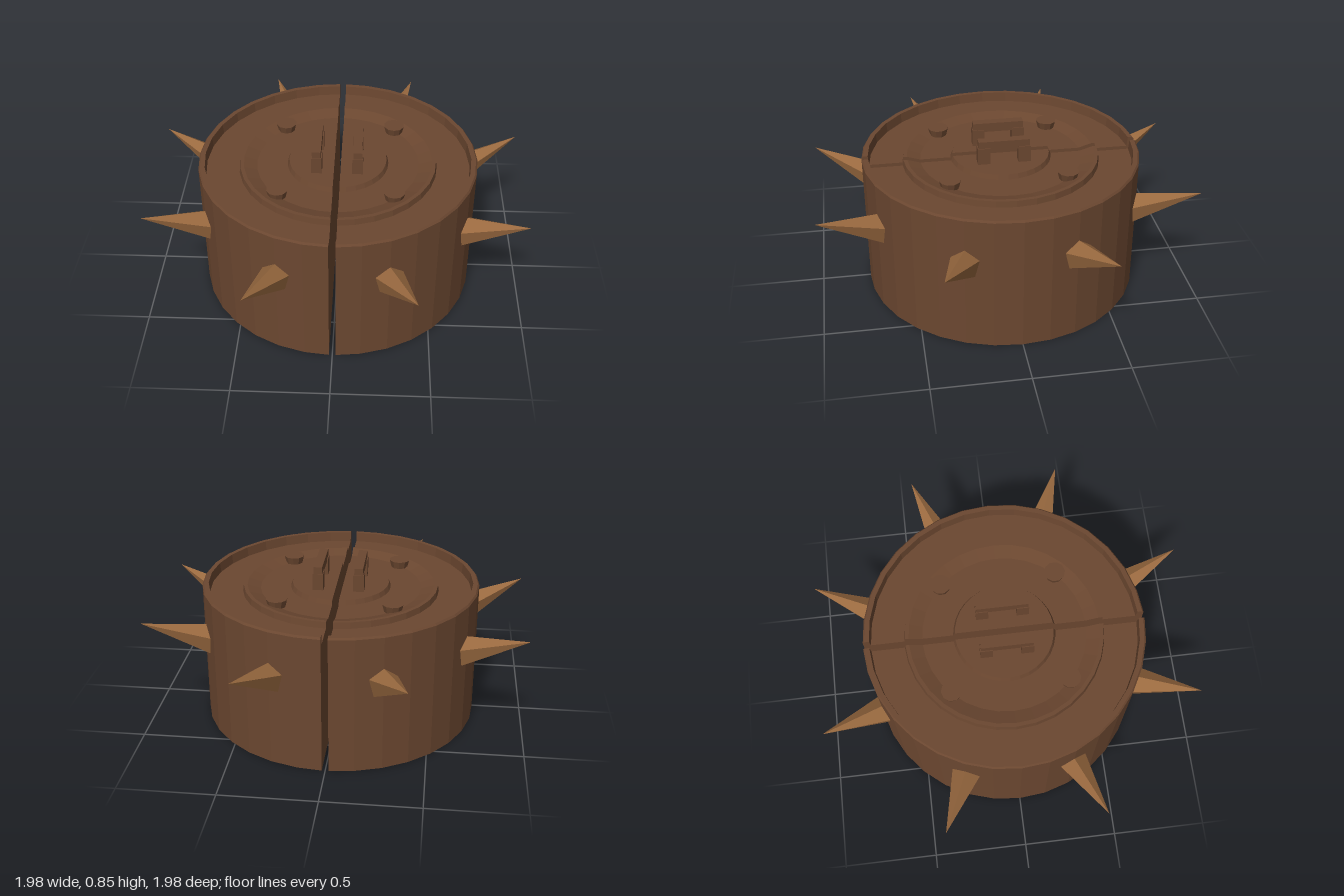
import * as THREE from 'three';

const bodyBrown = new THREE.MeshStandardMaterial({ color: 0x6b4730 });
bodyBrown.name = 'dark brown';
const spikeTan = new THREE.MeshStandardMaterial({ color: 0x99693f });
spikeTan.name = 'tan brown';

const GAP = 0.017; // half the width of the slot between the halves

// Facets a geometry by giving each face its own normals.
function facet(geometry) {
  const g = geometry.index ? geometry.toNonIndexed() : geometry;
  g.computeVertexNormals();
  return g;
}

function addMesh(parent, name, geometry, material, x = 0, y = 0, z = 0) {
  const mesh = new THREE.Mesh(facet(geometry), material);
  mesh.name = name;
  mesh.position.set(x, y, z);
  parent.add(mesh);
  return mesh;
}

// Drum cross-section: wall, rim, sunken lid, raised ring and centre disc.
const profile = [
  [0, 0], [0.738, 0], [0.738, 0.732], [0.73, 0.742], [0.705, 0.742],
  [0.7, 0.69], [0.525, 0.69], [0.52, 0.722], [0.5, 0.722], [0.43, 0.7],
  [0.268, 0.7], [0.258, 0.725], [0, 0.725],
].map(([r, y]) => new THREE.Vector2(r, y));

// Half of the turned drum, cut flat at the slot.
function halfDrumGeometry() {
  const g = new THREE.LatheGeometry(profile, 16, 0, Math.PI);
  const p = g.attributes.position;
  for (let i = 0; i < p.count; i++) p.setX(i, Math.max(p.getX(i), GAP));
  return g;
}

// Flat wall that closes the half at the slot.
function slotWallGeometry() {
  const mirrored = profile.slice(1, -1).reverse().map((v) => new THREE.Vector2(-v.x, v.y));
  const g = new THREE.ShapeGeometry(new THREE.Shape([...profile, ...mirrored]));
  return g.rotateY(-Math.PI / 2).translate(GAP, 0, 0);
}

// Five-sided spike leaning outward and up, with one ridge on top.
function addSpike(parent, angle) {
  const base = new THREE.Vector3(0.64, 0.455, 0);
  const tip = new THREE.Vector3(1.073, 0.612, 0);
  const length = base.distanceTo(tip);
  const g = new THREE.ConeGeometry(0.1, length, 5);
  g.translate(0, length / 2, 0);
  g.rotateY(-Math.PI / 2); // ridge towards -x, which becomes the top
  g.rotateZ(Math.atan2(tip.y - base.y, tip.x - base.x) - Math.PI / 2);
  g.translate(base.x, base.y, 0);
  addMesh(parent, 'spike', g, spikeTan).rotation.y = angle;
}

function createHalf(name) {
  const half = new THREE.Group();
  half.name = name;
  addMesh(half, 'drumHalf', halfDrumGeometry(), bodyBrown);
  addMesh(half, 'slotWall', slotWallGeometry(), bodyBrown);

  for (const degrees of [-67.5, -22.5, 22.5, 67.5]) {
    addSpike(half, THREE.MathUtils.degToRad(degrees));
  }

  // Handle: two posts and a narrower bar, plus a bolt at each end of the lid.
  const handle = new THREE.Group();
  handle.name = 'handle';
  half.add(handle);
  for (const side of [-1, 1]) {
    addMesh(handle, 'handlePost', new THREE.BoxGeometry(0.056, 0.1, 0.065), bodyBrown,
      0.107, 0.765, side * 0.107);
    addMesh(half, 'bolt', new THREE.CylinderGeometry(0.056, 0.045, 0.045, 10), bodyBrown,
      0.298, 0.718, side * 0.305);
  }
  addMesh(handle, 'handleBar', new THREE.BoxGeometry(0.046, 0.05, 0.27), bodyBrown,
    0.107, 0.827, 0);
  return half;
}

export function createModel() {
  const model = new THREE.Group();
  model.name = 'spikedSplitDrum';
  const left = createHalf('leftHalf');
  const right = createHalf('rightHalf');
  right.rotation.y = Math.PI;
  model.add(left, right);
  return model;
}
